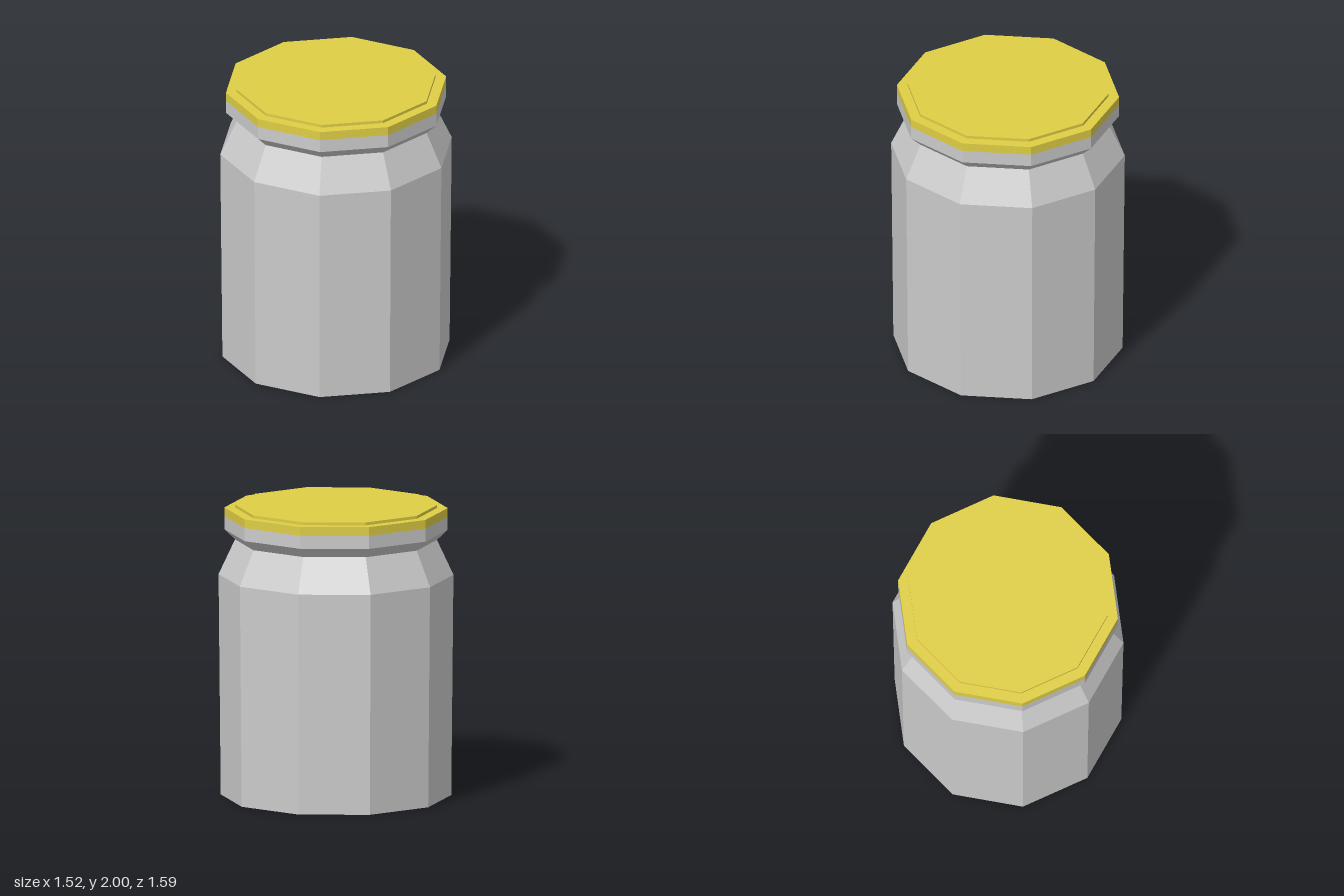
import * as THREE from 'three';

const SIDES = 10;
const TWIST = -0.0126; // the whole jar is turned very slightly about y

// Faceted solid of revolution from [radius, height] pairs, listed bottom to top
function facetedTurn(name, profile, color) {
  const points = profile.map(([r, y]) => new THREE.Vector2(r, y));
  const geometry = new THREE.LatheGeometry(points, SIDES, TWIST);
  const material = new THREE.MeshStandardMaterial({ color, flatShading: true });
  const mesh = new THREE.Mesh(geometry, material);
  mesh.name = name;
  return mesh;
}

export function createModel() {
  const group = new THREE.Group();
  group.name = 'jar';

  // Body: base, slightly flared wall, shoulder, neck and collar
  group.add(facetedTurn('jarBody', [
    [0, 0], [0.782, 0], [0.797, 1.52], [0.685, 1.76],
    [0.758, 1.83], [0.758, 1.92], [0, 1.92],
  ], 0xcccccc));

  // Lid: screw band with a raised centre disc
  group.add(facetedTurn('lid', [
    [0.758, 1.92], [0.758, 1.98], [0.685, 1.98], [0.685, 2], [0, 2],
  ], 0xdfce45));

  return group;
}
